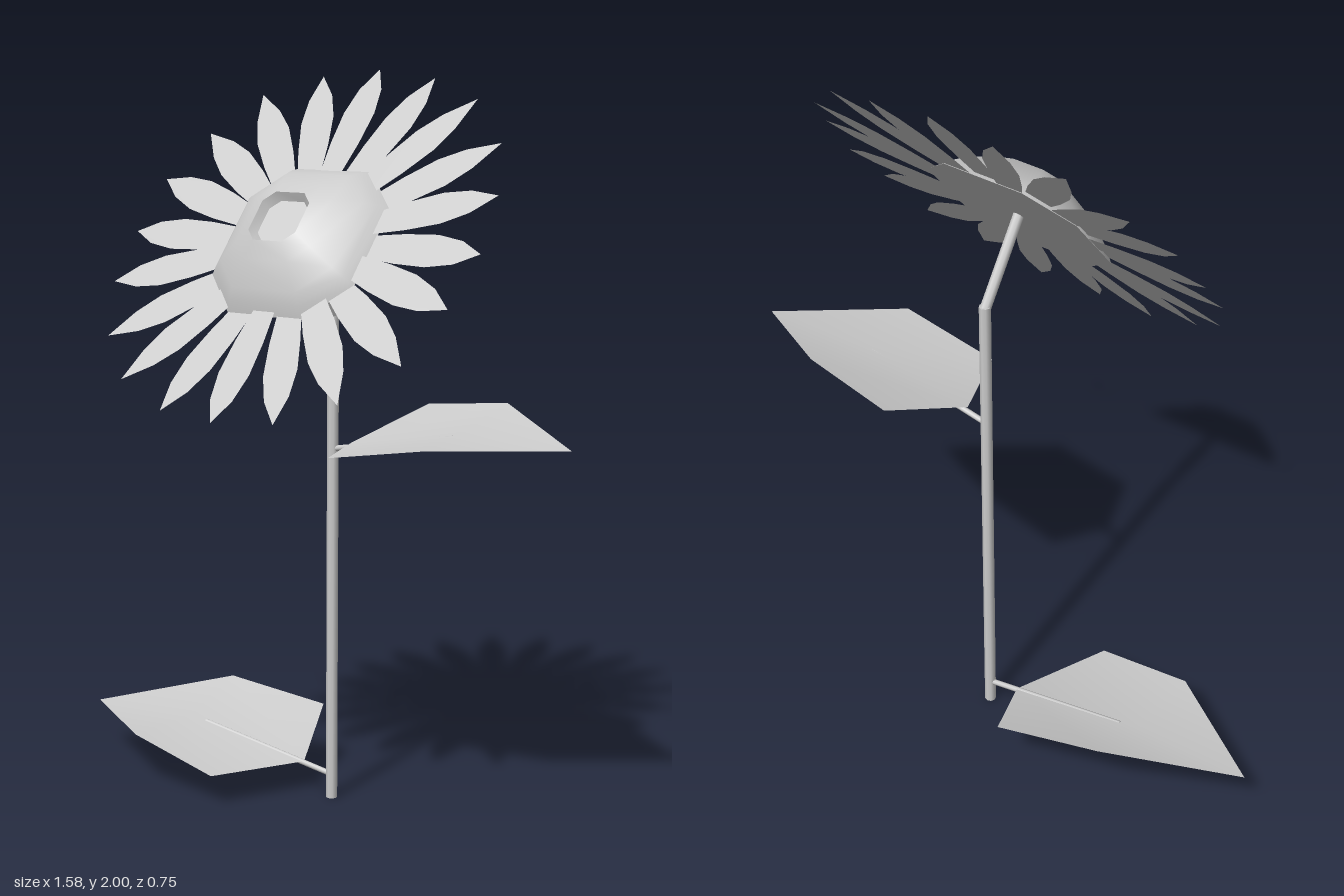
import * as THREE from 'three';
import { toCreasedNormals } from 'three/addons/utils/BufferGeometryUtils.js';

const material = new THREE.MeshStandardMaterial({ color: 0xcccccc });
const thin = new THREE.MeshStandardMaterial({ color: 0xcccccc, side: THREE.DoubleSide });
const v = (p) => new THREE.Vector3(...p);

function mesh(name, geometry, mat = material) {
  const m = new THREE.Mesh(geometry, mat);
  m.name = name;
  return m;
}

// Straight round rod between two points
function rod(name, from, to, radius) {
  const a = v(from), b = v(to), dir = b.clone().sub(a);
  const m = mesh(name, new THREE.CylinderGeometry(radius, radius, dir.length(), 8));
  m.position.copy(a).add(b).multiplyScalar(0.5);
  m.quaternion.setFromUnitVectors(new THREE.Vector3(0, 1, 0), dir.normalize());
  return m;
}

// Folded leaf: rows of [back edge, midrib, front edge] closing at the tip
function leaf(name, rows, tip) {
  const geometry = new THREE.BufferGeometry();
  geometry.setAttribute('position', new THREE.Float32BufferAttribute([...rows.flat(2), ...tip], 3));
  const index = [];
  for (let c = 0; c < 2; c++) {
    index.push(c, c + 1, c + 3, c + 1, c + 4, c + 3);
    index.push(c + 3, c + 4, 6);
  }
  // Keep the upper side in front whichever way the leaf points
  if (tip[0] < 0) index.reverse();
  geometry.setIndex(index);
  geometry.computeVertexNormals();
  return mesh(name, geometry, thin);
}

// Eight-sided domed centre with a shallow recess on top
function seedDisc() {
  const profile = [
    [0, 0], [0.235, 0], [0.211, 0.027], [0.185, 0.05], [0.122, 0.093],
    [0.077, 0.116], [0.065, 0.092], [0, 0.092],
  ].map(([r, h]) => new THREE.Vector2(r / Math.cos(Math.PI / 8), h));
  const geometry = new THREE.LatheGeometry(profile, 8, Math.PI / 8);
  geometry.rotateX(Math.PI / 2);
  // Lengthen the four main sides so the corners are cut shorter, more so near the top
  const p = geometry.attributes.position;
  for (let i = 0; i < p.count; i++) {
    const x = p.getX(i), y = p.getY(i), stretch = 1.25 + 1.8 * p.getZ(i);
    if (Math.abs(x) < Math.abs(y)) p.setX(i, x * stretch);
    else p.setY(i, y * stretch);
  }
  return mesh('seedDisc', toCreasedNormals(geometry, 0.95));
}

// Flat pointed petal along +y, starting under the disc
function petalGeometry(length) {
  const side = [[0.033, 0.21], [0.046, 0.32], [0.05, 0.42], [0.036, 0.5]];
  const outline = [...side, [0, length], ...side.slice().reverse().map(([x, y]) => [-x, y])];
  return new THREE.ShapeGeometry(new THREE.Shape(outline.map(([x, y]) => new THREE.Vector2(x, y))));
}

function flowerHead() {
  const head = new THREE.Group();
  head.name = 'flowerHead';
  head.add(seedDisc());
  // One quarter of the petal angles in degrees, mirrored around the disc
  const quarter = [0, 18.8, 37, 54.8, 72.5];
  const half = [...quarter, 90, ...quarter.slice(1).reverse().map((a) => 180 - a)];
  const angles = [...half, ...half.map((a) => a + 180)];
  angles.forEach((deg, i) => {
    const a = THREE.MathUtils.degToRad(deg);
    const petal = mesh('petal', petalGeometry(0.568 + 0.028 * Math.sin(2 * a) ** 2), thin);
    petal.rotation.z = -a;
    petal.position.z = i % 2 ? 0.002 : 0.01;
    head.add(petal);
  });
  head.position.set(0.045, 1.558, 0.004);
  head.rotation.x = -0.69;
  return head;
}

export function createModel() {
  const flower = new THREE.Group();
  flower.name = 'flower';
  const x = 0.045, z = -0.143;

  // Stem and bent neck
  flower.add(rod('stem', [x, 0, z], [x, 1.36, z], 0.016));
  flower.add(rod('neck', [x, 1.35, z], [x, 1.565, 0.004], 0.015));

  // Upper leaf on the left side
  flower.add(rod('upperLeafStalk', [x, 0.988, z], [0.44, 1.058, -0.14], 0.008));
  flower.add(leaf('upperLeaf', [
    [[0.2, 1.098, -0.375], [0.11, 1.012, -0.14], [0.195, 1.01, 0.078]],
    [[0.475, 1.13, -0.345], [0.45, 1.067, -0.14], [0.49, 1.06, 0.078]],
  ], [0.787, 1.06, -0.16]));

  // Lower leaf on the right side
  flower.add(rod('lowerLeafStalk', [x, 0.066, z], [-0.4, 0.139, -0.13], 0.008));
  flower.add(leaf('lowerLeaf', [
    [[-0.16, 0.178, -0.375], [-0.05, 0.085, -0.14], [-0.16, 0.09, 0.136]],
    [[-0.46, 0.222, -0.325], [-0.45, 0.15, -0.12], [-0.455, 0.148, 0.115]],
  ], [-0.79, 0.14, -0.1]));

  flower.add(flowerHead());
  return flower;
}
